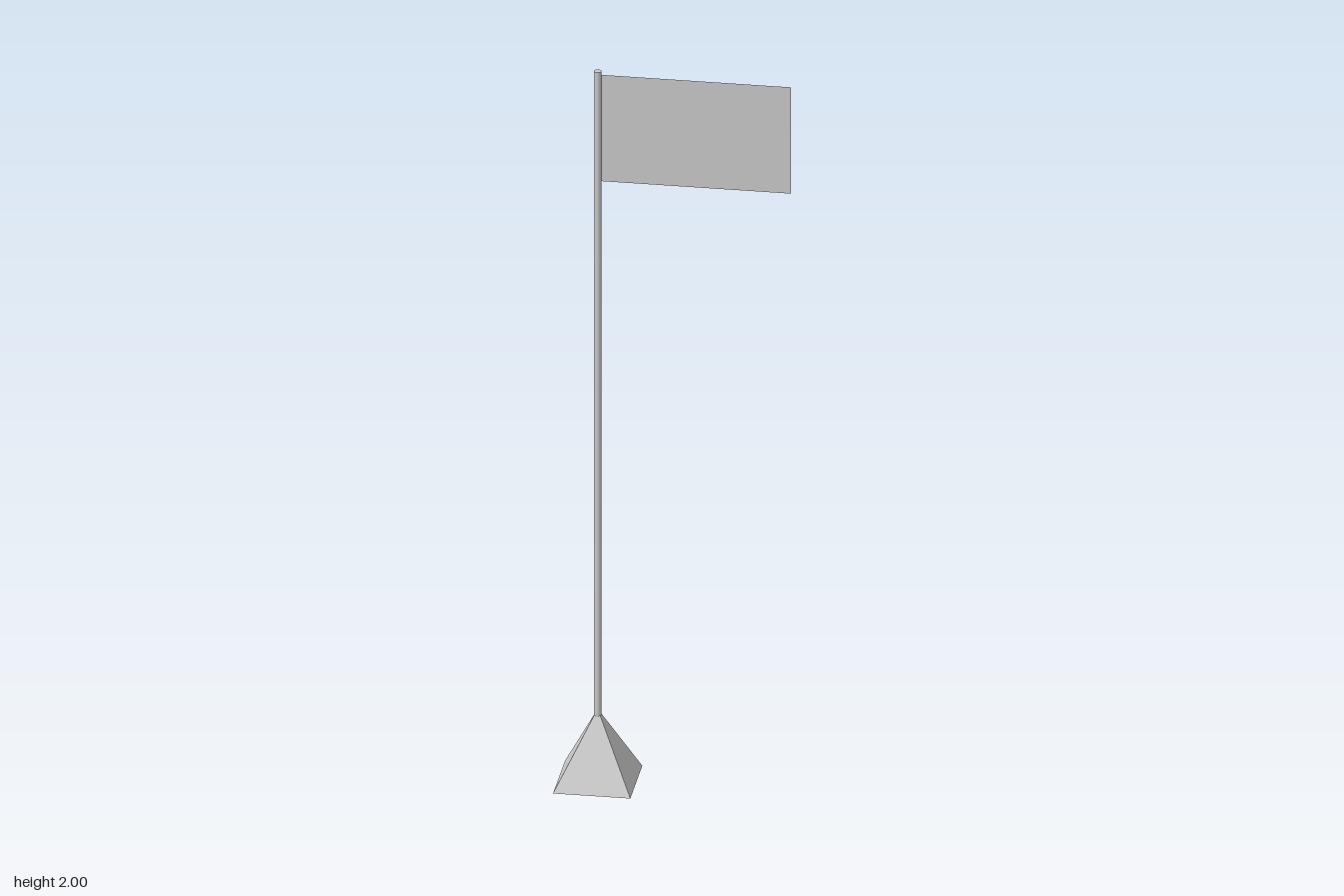
import * as THREE from 'three';

export function createModel() {
  const group = new THREE.Group();
  group.name = 'flagOnPole';
  const poleX = -0.2;

  const add = (name, geometry, x, y, options = {}) => {
    const material = new THREE.MeshStandardMaterial({ color: 0xcccccc, ...options });
    const mesh = new THREE.Mesh(geometry, material);
    mesh.name = name;
    mesh.position.set(x, y, 0);
    group.add(mesh);
  };

  // Square pyramid base, 0.2 wide, sides aligned with x and z
  const pyramid = new THREE.ConeGeometry(0.1 * Math.SQRT2, 0.2, 4).rotateY(Math.PI / 4);
  add('base', pyramid, poleX, 0.1, { flatShading: true });

  // Slender round pole rising out of the base
  const bottom = 0.1, top = 2;
  add('pole', new THREE.CylinderGeometry(0.01, 0.01, top - bottom, 16), poleX, (top + bottom) / 2);

  // Flat, thin flag running from the pole axis towards +x
  add('flag', new THREE.PlaneGeometry(0.5, 0.3), poleX + 0.25, 1.84, { side: THREE.DoubleSide });

  return group;
}
